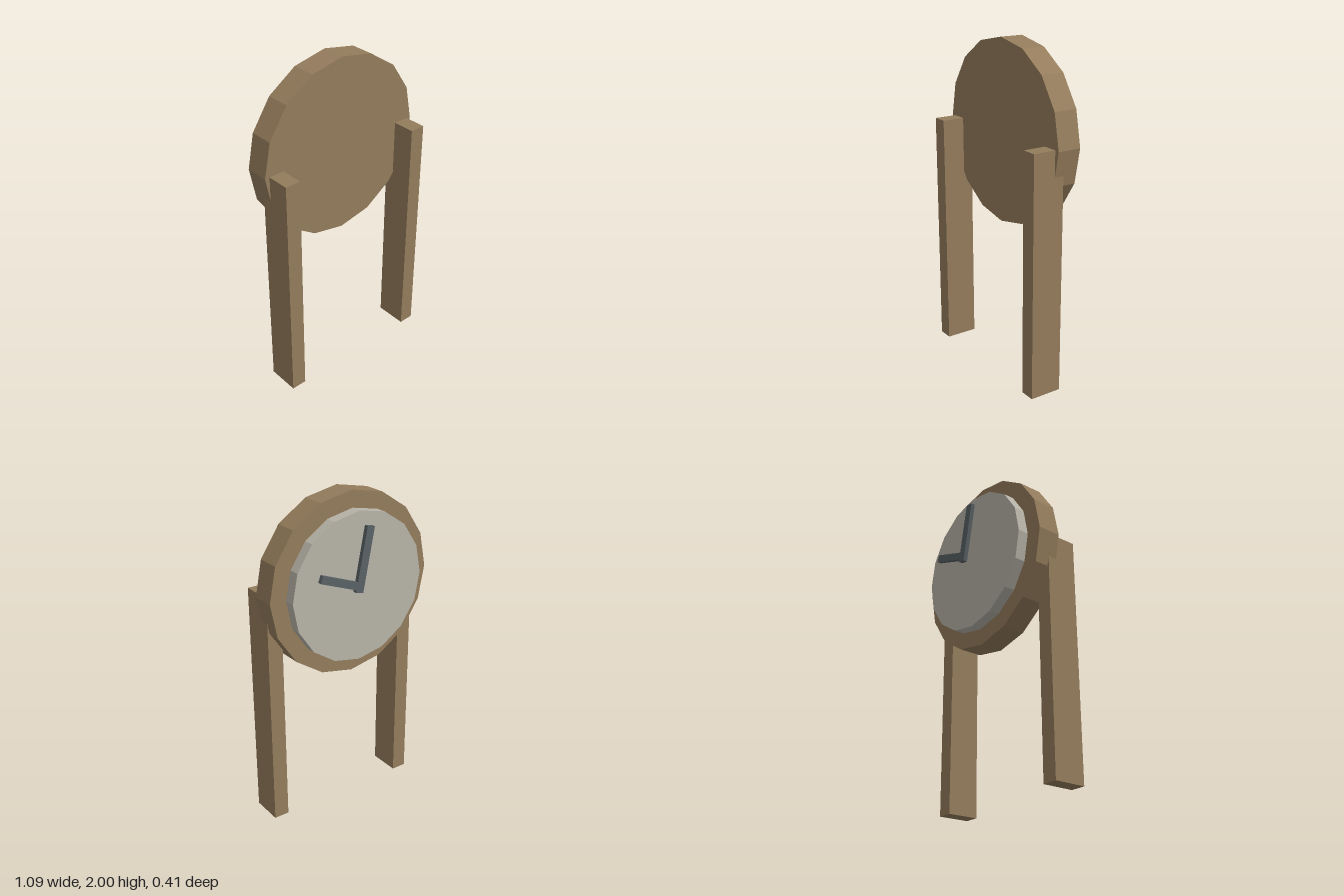
import * as THREE from 'three';

export function createModel() {
  const model = new THREE.Group();
  model.name = 'standingClock';

  const material = (name, color) => {
    const m = new THREE.MeshStandardMaterial({ color, flatShading: true });
    m.name = name;
    return m;
  };
  const wood = material('wood', 0x947c5c);
  const dial = material('dialGrey', 0xb8b4a8);
  const slate = material('slate', 0x5a6266);

  const add = (name, geometry, mat, x, y, z) => {
    const mesh = new THREE.Mesh(geometry, mat);
    mesh.name = name;
    mesh.position.set(x, y, z);
    model.add(mesh);
    return mesh;
  };

  // Sixteen-sided disc facing along z, with a corner at the top
  const addDisc = (name, radius, zBack, zFront, mat) => {
    const geometry = new THREE.CylinderGeometry(radius, radius, zFront - zBack, 16);
    geometry.rotateX(Math.PI / 2);
    add(name, geometry, mat, 0, 1.456, (zBack + zFront) / 2);
  };
  addDisc('clockBody', 0.544, -0.077, 0.068, wood);
  addDisc('clockFace', 0.445, -0.15, -0.083, dial);

  // Two posts
  for (const [name, side] of [['leftPost', 1], ['rightPost', -1]]) {
    add(name, new THREE.BoxGeometry(0.095, 1.46, 0.197), wood, side * 0.467, 0.73, 0.1085);
  }

  // Clock hands: bars laid between two points, just off the face
  const addHand = (name, x1, y1, x2, y2, width) => {
    const length = Math.hypot(x2 - x1, y2 - y1);
    const hand = add(name, new THREE.BoxGeometry(length, width, 0.026), slate,
      (x1 + x2) / 2, (y1 + y2) / 2, -0.194);
    hand.rotation.z = Math.atan2(y2 - y1, x2 - x1);
  };
  addHand('minuteHand', 0.04, 1.45, -0.035, 1.822, 0.05);
  addHand('hourHand', 0.03, 1.483, 0.2925, 1.582, 0.045);

  return model;
}
